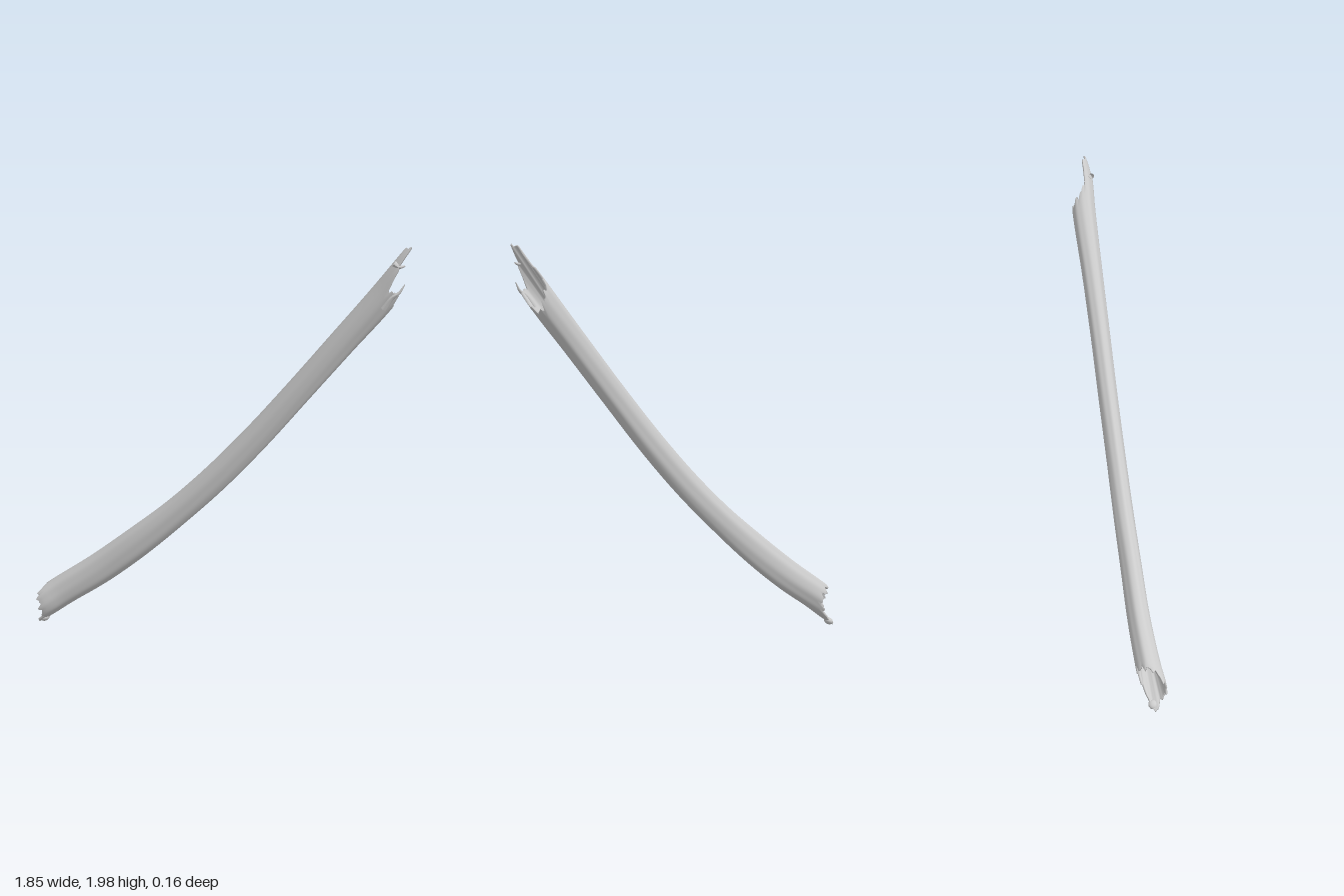
import * as THREE from 'three';

// Stations along the shaft: x -> centre y, half width, centre z, half depth
const X = [-1, -0.9, -0.8, -0.6, -0.4, -0.2, 0, 0.2, 0.4, 0.6, 0.8, 0.9, 1];
const STATIONS = [
  0.03, 0.07, -0.025, 0.045,
  0.10, 0.075, -0.017, 0.062,
  0.17, 0.075, -0.022, 0.058,
  0.305, 0.077, -0.023, 0.053,
  0.46, 0.075, -0.015, 0.050,
  0.63, 0.068, -0.008, 0.048,
  0.82, 0.066, 0, 0.046,
  1.035, 0.064, 0.006, 0.046,
  1.27, 0.062, 0.012, 0.047,
  1.51, 0.063, 0.016, 0.050,
  1.75, 0.065, 0.019, 0.056,
  1.885, 0.06, 0.025, 0.055,
  2.03, 0.05, 0.00, 0.05,
];
// Where the wall breaks off around the section (front, upper, back, lower)
const LOW_END = [-0.90, -0.89, -0.885, -0.85, -0.83, -0.82, -0.81, -0.81,
  -0.80, -0.82, -0.85, -0.91, -0.965, -0.95, -0.915, -0.91];
const HIGH_END = [0.83, 0.89, 0.945, 0.94, 0.87, 0.84, 0.825, 0.81,
  0.80, 0.785, 0.77, 0.765, 0.78, 0.80, 0.83, 0.82];

const SIDES = 64, RINGS = 70;
const shape = new THREE.CubicInterpolant(X, STATIONS, 4);
const station = (x) => Array.from(shape.evaluate(x));

// Smooth periodic lookup in an end table
function around(table, u) {
  const f = (u / (2 * Math.PI)) * table.length, i = Math.floor(f), k = f - i;
  const a = table[i % table.length], b = table[(i + 1) % table.length];
  return a + (b - a) * k * k * (3 - 2 * k);
}

// Point on the shaft at station x and angle u, scaled about the axis
function surface(x, u, scale) {
  const [y, h, zc, hz] = station(x);
  const slope = (station(x + 0.01)[0] - station(x - 0.01)[0]) / 0.02;
  const len = Math.hypot(1, slope);
  // faint lengthwise ridges and grooves
  const ridge = 1 + 0.018 * Math.sin(5 * u + 2 * x) + 0.012 * Math.sin(9 * u - 3 * x);
  const across = h * Math.sin(u) * scale * ridge;
  const deep = hz * Math.cos(u) * scale * ridge;
  return [x - (across * slope) / len, y + across / len, zc + deep];
}

// Hollow-ended shaft: cup, rim, outer wall, rim, cup in one continuous skin
function shaftGeometry() {
  const rings = [[0, 0, 'lowCup'], [0, 0.72, 'lowCup'], [0, 0.84, 'wall'], [0, 0.95, 'wall']];
  for (let i = 0; i <= RINGS; i++) rings.push([i / RINGS, 1, 'wall']);
  rings.push([1, 0.95, 'wall'], [1, 0.84, 'wall'], [0, 0.72, 'highCup'], [0, 0, 'highCup']);

  const pos = [], index = [];
  for (const [v, scale, kind] of rings) {
    for (let j = 0; j < SIDES; j++) {
      const u = (j / SIDES) * 2 * Math.PI;
      const jag = 0.008 * Math.sin(11 * u) + 0.005 * Math.sin(19 * u + 1);
      const lo = around(LOW_END, u) + jag, hi = around(HIGH_END, u) + jag * 0.8;
      const x = kind === 'lowCup' ? -0.765 : kind === 'highCup' ? 0.73 : lo + (hi - lo) * v;
      pos.push(...surface(x, u, scale));
    }
  }
  for (let i = 0; i < rings.length - 1; i++) {
    for (let j = 0; j < SIDES; j++) {
      const k = (j + 1) % SIDES;
      const a = i * SIDES + j, b = i * SIDES + k, c = a + SIDES, d = b + SIDES;
      index.push(a, c, b, b, c, d);
    }
  }
  const geo = new THREE.BufferGeometry();
  geo.setAttribute('position', new THREE.Float32BufferAttribute(pos, 3));
  geo.setIndex(index);
  geo.computeVertexNormals();
  return geo;
}

// Tapered splinter along a short path
function splinterGeometry(points, r0, r1) {
  const curve = new THREE.CatmullRomCurve3(points.map((p) => new THREE.Vector3(...p)));
  const geo = new THREE.TubeGeometry(curve, 12, 1, 8);
  const p = geo.attributes.position, v = new THREE.Vector3();
  for (let i = 0; i < p.count; i++) {
    const t = Math.floor(i / 9) / 12, c = curve.getPointAt(t);
    v.fromBufferAttribute(p, i).sub(c).multiplyScalar(r0 + (r1 - r0) * t).add(c);
    p.setXYZ(i, v.x, v.y, v.z);
  }
  geo.computeVertexNormals();
  return geo;
}

export function createModel() {
  const model = new THREE.Group();
  model.name = 'boneFragment';
  const material = new THREE.MeshStandardMaterial({ color: 0xcccccc, side: THREE.DoubleSide });
  const add = (name, geometry) => {
    const mesh = new THREE.Mesh(geometry, material);
    mesh.name = name;
    model.add(mesh);
  };

  add('shaft', shaftGeometry());

  // Broken slivers at the upper end
  add('upperSplinter', splinterGeometry(
    [[0.80, 1.69, 0.055], [0.84, 1.745, 0.062], [0.87, 1.765, 0.06], [0.895, 1.805, 0.055]], 0.018, 0.002));
  add('tongueBarb', splinterGeometry(
    [[0.845, 1.90, 0.068], [0.87, 1.885, 0.066], [0.895, 1.89, 0.06]], 0.014, 0.004));

  // Rounded nub at the lower tip
  const nub = new THREE.SphereGeometry(0.024, 16, 12);
  nub.scale(1, 0.7, 1).rotateZ(0.6).translate(-0.893, 0.02, -0.02);
  add('lowerNub', nub);

  return model;
}
